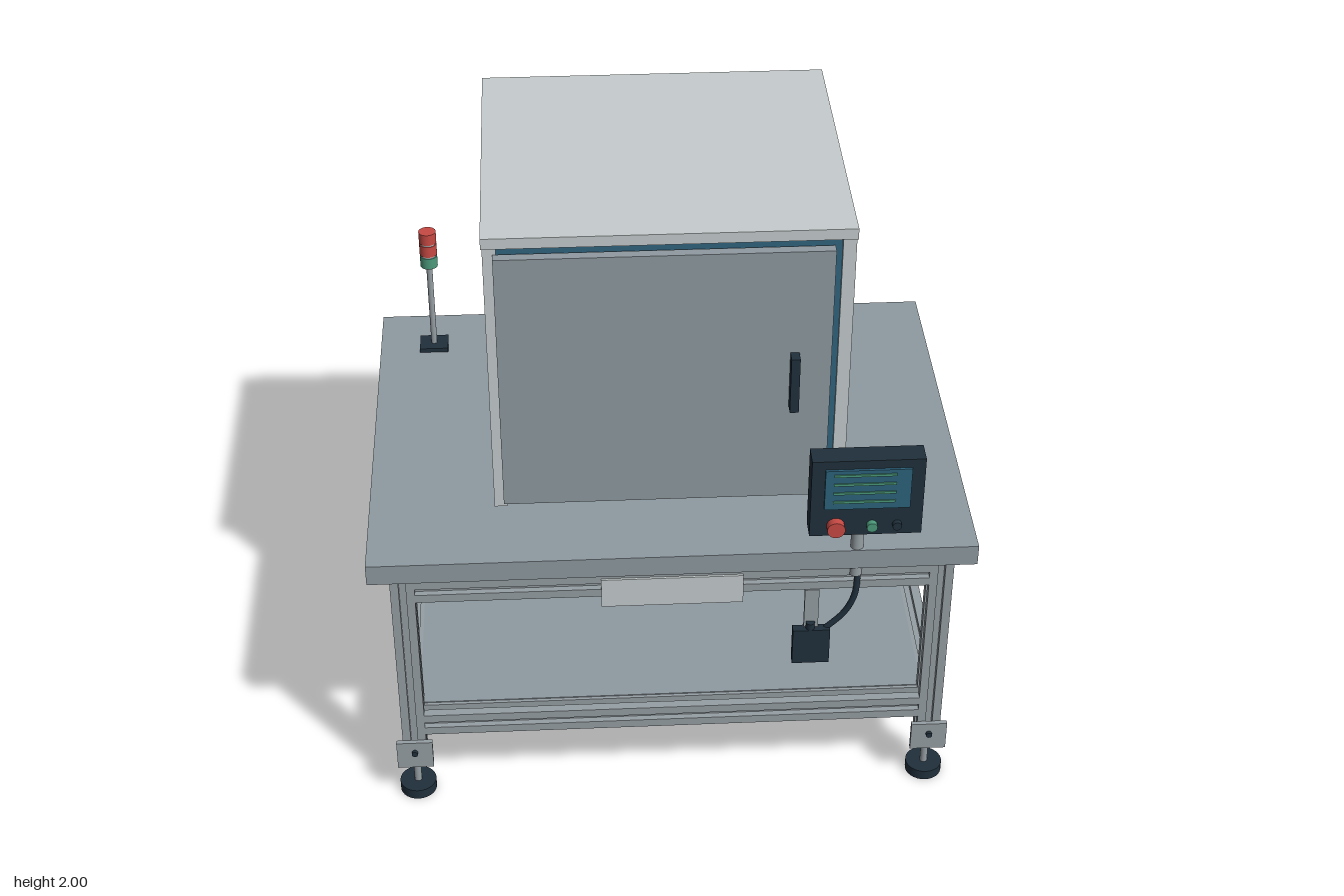
import * as THREE from 'three';

export function createModel() {
  const model = new THREE.Group();
  model.name = 'machineWorkstation';

  const mat = (name, color) => {
    const m = new THREE.MeshStandardMaterial({ color });
    m.name = name;
    return m;
  };
  const light = mat('light panel grey', 0xc6cdce);
  const grey = mat('table grey', 0x8f9aa1);
  const alu = mat('aluminium', 0x969fa4);
  const dark = mat('dark slate', 0x20303c);
  const blue = mat('steel blue', 0x32647f);
  const screenBlue = mat('screen blue', 0x2c627c);
  const red = mat('signal red', 0xc84a44);
  const green = mat('signal green', 0x4c9a7c);

  const add = (name, geo, m, x = 0, y = 0, z = 0, parent = model) => {
    const mesh = new THREE.Mesh(geo, m);
    mesh.name = name;
    mesh.position.set(x, y, z);
    parent.add(mesh);
    return mesh;
  };
  // Box given by its limits on each axis
  const box = (name, m, x0, x1, y0, y1, z0, z1, parent) =>
    add(name, new THREE.BoxGeometry(x1 - x0, y1 - y0, z1 - z0), m,
      (x0 + x1) / 2, (y0 + y1) / 2, (z0 + z1) / 2, parent);
  // Upright cylinder from y0 to y1
  const rod = (name, m, r, x, y0, y1, z, parent, sides = 28) =>
    add(name, new THREE.CylinderGeometry(r, r, y1 - y0, sides), m, x, (y0 + y1) / 2, z, parent);
  // Round part whose axis runs along z
  const knob = (name, m, r, x, y, z0, z1, parent) => {
    const k = add(name, new THREE.CylinderGeometry(r, r, z1 - z0, 24), m, x, y, (z0 + z1) / 2, parent);
    k.rotation.x = Math.PI / 2;
    return k;
  };
  const group = (name) => {
    const g = new THREE.Group();
    g.name = name;
    model.add(g);
    return g;
  };

  // Slotted square profile, extruded along z and centred
  const slottedBar = (size, length) => {
    const h = size / 2, s = 0.011, d = 0.02;
    const side = [[-h, -h], [-s, -h], [-s, -h + d], [s, -h + d], [s, -h]];
    const pts = [];
    for (let i = 0; i < 4; i++) {
      const c = Math.round(Math.cos(i * Math.PI / 2)), n = Math.round(Math.sin(i * Math.PI / 2));
      for (const [x, y] of side) pts.push(new THREE.Vector2(x * c - y * n, x * n + y * c));
    }
    const geo = new THREE.ExtrudeGeometry(new THREE.Shape(pts), { depth: length, bevelEnabled: false });
    return geo.translate(0, 0, -length / 2);
  };

  // Frame: legs, feet and two rings of rails
  const frame = group('frame');
  const legX = 0.835, frontZ = 0.5625, backZ = -0.72, legW = 0.075;
  const legGeo = slottedBar(legW, 0.775).rotateX(Math.PI / 2);
  for (const x of [-legX, legX]) {
    for (const z of [frontZ, backZ]) {
      add('leg', legGeo, alu, x, 0.5175, z, frame);
      const f = z + legW / 2;
      box('footBracket', alu, x - 0.058, x + 0.058, 0.135, 0.24, f, f + 0.015, frame);
      knob('bracketBolt', dark, 0.01, x, 0.2, f + 0.015, f + 0.026, frame);
      rod('footStud', alu, 0.012, x, 0.035, 0.135, z, frame);
      rod('footNut', dark, 0.024, x, 0.108, 0.122, z, frame, 6);
      rod('footPad', dark, 0.059, x, 0, 0.035, z, frame);
    }
  }
  const longRail = slottedBar(0.08, 2 * legX - legW).rotateY(Math.PI / 2);
  const sideRail = slottedBar(0.08, frontZ - backZ - legW);
  for (const y of [0.305, 0.855]) {
    for (const z of [frontZ, backZ]) add('longRail', longRail, alu, 0, y, z, frame);
    for (const x of [-legX, legX]) add('sideRail', sideRail, alu, x, y, (frontZ + backZ) / 2, frame);
  }
  box('lowerShelf', grey, -0.81, 0.81, 0.327, 0.348, -0.695, 0.54);
  box('tableTop', grey, -0.94, 0.94, 0.905, 0.975, -0.78, 0.618);

  // Enclosure on the table
  const cab = group('enclosure');
  box('enclosureCore', blue, -0.507, 0.507, 1.017, 1.965, -0.578, 0.38, cab);
  for (const s of [-1, 1]) {
    const x = s * 0.525;
    box('sidePanel', light, x - 0.02, x + 0.02, 1.017, 1.965, -0.55, 0.39, cab);
  }
  box('lid', light, -0.548, 0.545, 1.965, 2, -0.583, 0.417, cab);
  box('door', grey, -0.515, 0.482, 1.05, 1.932, 0.392, 0.424, cab);
  box('doorHandle', dark, 0.358, 0.385, 1.39, 1.582, 0.424, 0.463, cab);

  // Operator panel, its post and cable
  const panel = group('operatorPanel');
  box('panelHousing', dark, 0.395, 0.73, 1.145, 1.417, 0.685, 0.754, panel);
  box('screen', screenBlue, 0.435, 0.69, 1.247, 1.388, 0.754, 0.762, panel);
  for (let i = 0; i < 4; i++) {
    const y = 1.371 - i * 0.032;
    box('screenLine', green, 0.46, 0.645, y - 0.004, y + 0.004, 0.762, 0.766, panel);
  }
  knob('stopButton', red, 0.027, 0.472, 1.182, 0.754, 0.78, panel);
  knob('startButton', green, 0.016, 0.58, 1.182, 0.754, 0.772, panel);
  knob('resetButton', dark, 0.014, 0.655, 1.182, 0.754, 0.77, panel);
  rod('panelPost', alu, 0.02, 0.565, 0.87, 1.22, 0.595, panel);
  const path = new THREE.CatmullRomCurve3([
    [0.572, 0.872, 0.6], [0.565, 0.79, 0.605], [0.535, 0.72, 0.605], [0.475, 0.655, 0.605],
  ].map((p) => new THREE.Vector3(...p)));
  add('cable', new THREE.TubeGeometry(path, 24, 0.01, 10), dark, 0, 0, 0, panel);

  // Junction box hanging at the front
  const junction = group('junctionBox');
  box('junctionHousing', dark, 0.375, 0.492, 0.535, 0.667, 0.597, 0.627, junction);
  box('hangerStrip', alu, 0.41, 0.455, 0.667, 0.815, 0.595, 0.607, junction);
  rod('cableGland', dark, 0.014, 0.43, 0.665, 0.69, 0.612, junction);
  box('frontPlate', light, -0.223, 0.217, 0.78, 0.885, 0.6, 0.61);

  // Electrical cabinet under the table, door facing back
  const elec = group('electricalCabinet');
  box('cabinetBody', blue, 0.15, 0.677, 0.39, 0.812, -0.752, -0.472, elec);
  box('cabinetDoor', light, 0.168, 0.659, 0.405, 0.797, -0.761, -0.752, elec);
  for (let i = 0; i < 7; i++) {
    const y = 0.5 + i * 0.03;
    box('ventSlot', dark, 0.31, 0.52, y - 0.006, y + 0.006, -0.765, -0.761, elec);
  }
  knob('cabinetLock', dark, 0.017, 0.605, 0.605, -0.776, -0.761, elec);

  // Signal tower
  const tower = group('signalTower');
  const tx = -0.757, tz = -0.59;
  box('towerBase', dark, tx - 0.048, tx + 0.048, 0.975, 0.99, tz - 0.042, tz + 0.042, tower);
  rod('towerPole', alu, 0.01, tx, 0.99, 1.3, tz, tower);
  rod('towerCore', light, 0.026, tx, 1.305, 1.42, tz, tower);
  [green, red, red].forEach((m, i) =>
    rod('signalLamp', m, 0.029, tx, 1.3 + i * 0.046, 1.34 + i * 0.046, tz, tower));

  return model;
}
